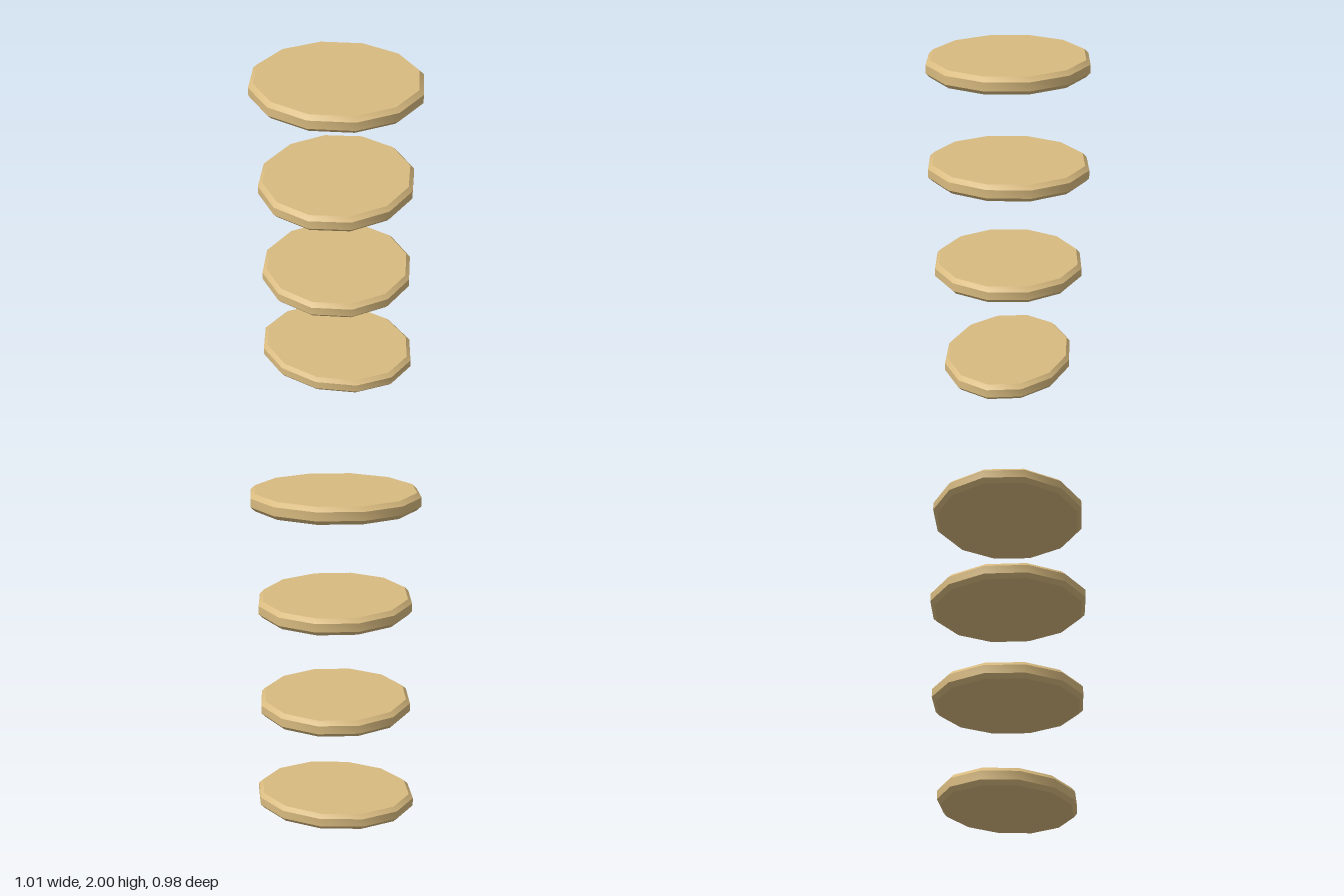
import * as THREE from 'three';
import { toCreasedNormals } from 'three/addons/utils/BufferGeometryUtils.js';

const HEIGHT = 0.1;
const BEVEL = 0.025;

// Bevelled twelve-sided disc of unit radius, standing on y = 0
function discGeometry() {
  const inner = 0.948;
  const profile = [
    [0, 0], [inner, 0], [1, BEVEL], [1, HEIGHT - BEVEL], [inner, HEIGHT], [0, HEIGHT],
  ].map(([r, y]) => new THREE.Vector2(r, y));
  const geometry = new THREE.LatheGeometry(profile, 12);
  // Round the rim smoothly; the bevel becomes steep in unit space, so crease between profile bands
  geometry.scale(0.48, 1, 0.48);
  return toCreasedNormals(geometry, THREE.MathUtils.degToRad(36));
}

export function createModel() {
  const model = new THREE.Group();
  const wood = new THREE.MeshStandardMaterial({ color: 0xd9bb80 });
  wood.name = 'light wood';
  const geometry = discGeometry();

  // Half width and half depth of each slab, from the bottom up
  const slabs = [[0.496, 0.393], [0.464, 0.457], [0.463, 0.489], [0.504, 0.479]];
  slabs.forEach(([halfWidth, halfDepth], i) => {
    const slab = new THREE.Mesh(geometry, wood);
    slab.name = `slab${i + 1}`;
    slab.scale.set(halfWidth / 0.48, 1, halfDepth / 0.48);
    slab.position.y = i * (2 - HEIGHT) / 3;
    model.add(slab);
  });
  return model;
}
